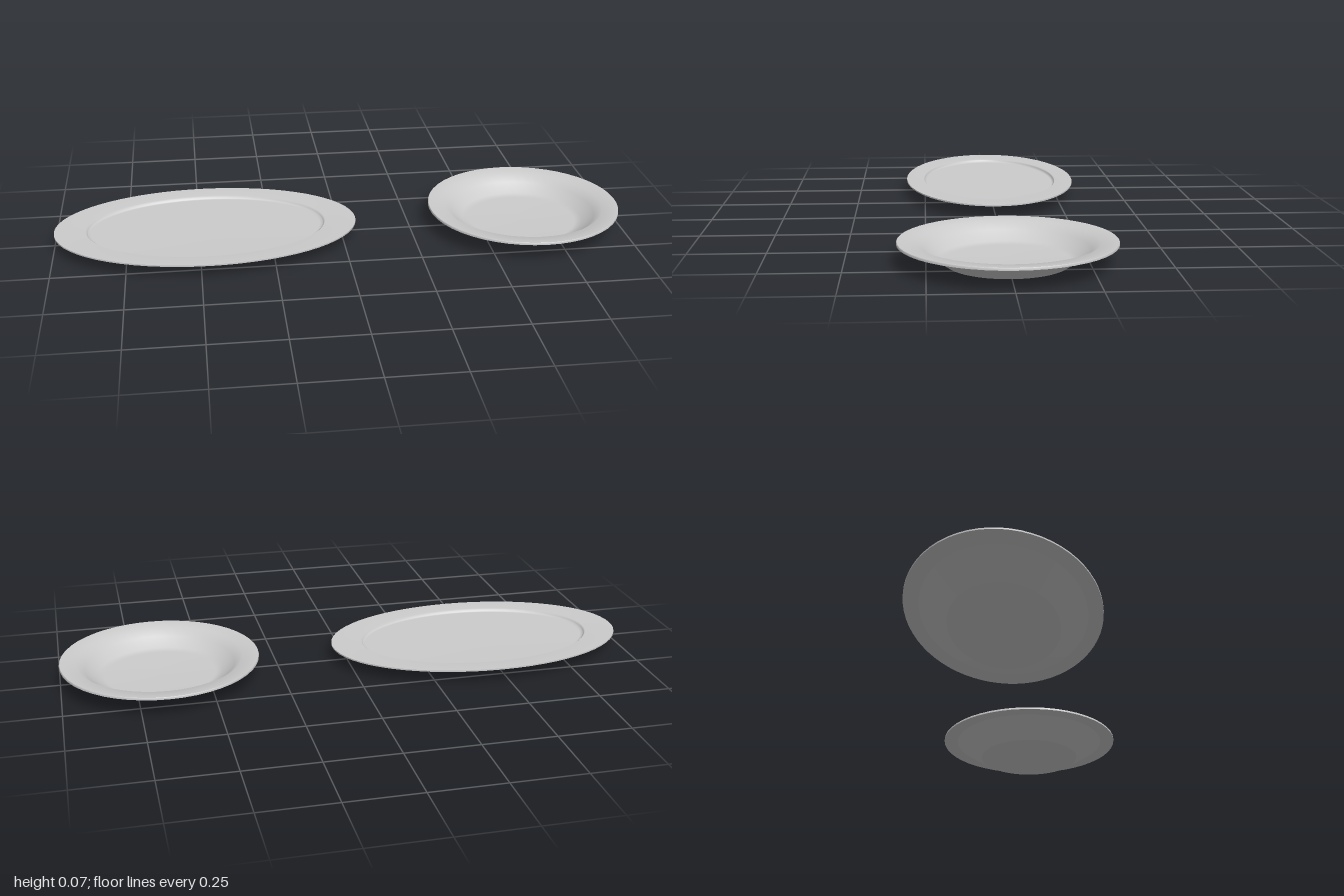
import * as THREE from 'three';

const material = new THREE.MeshStandardMaterial({ color: 0xcccccc, side: THREE.DoubleSide });

// Each section is a smooth run of [radius, height] points; edges between sections stay sharp.
function makeDish(name, sections, segments) {
  const dish = new THREE.Group();
  dish.name = name;
  for (const [part, points] of Object.entries(sections)) {
    const profile = points.map(([r, y]) => new THREE.Vector2(r, y));
    const mesh = new THREE.Mesh(new THREE.LatheGeometry(profile, segments), material);
    mesh.name = part;
    dish.add(mesh);
  }
  return dish;
}

export function createModel() {
  const model = new THREE.Group();
  model.name = 'dishes';

  // Oval platter: flat rim, short steep step down to a shallow floor
  const platter = makeDish('platter', {
    platterBase: [[0, 0], [0.3, 0]],
    platterOuterWall: [[0.3, 0], [0.445, 0.047]],
    platterRimUnderside: [[0.445, 0.047], [0.526, 0.047]],
    platterRimEdge: [[0.526, 0.047], [0.526, 0.052]],
    platterTop: [[0.526, 0.052], [0.418, 0.051], [0.412, 0.046], [0.41, 0.041], [0.4, 0.039], [0, 0.038]],
  }, 64);
  platter.scale.z = 0.608;
  platter.position.x = -0.474;

  // Round soup plate: narrow rim, deep sloping well
  const soupPlate = makeDish('soupPlate', {
    plateBase: [[0, 0], [0.19, 0]],
    plateOuterWall: [[0.19, 0], [0.287, 0.065]],
    plateRimUnderside: [[0.287, 0.065], [0.34, 0.065]],
    plateRimEdge: [[0.34, 0.065], [0.34, 0.071], [0.338, 0.073]],
    plateTop: [[0.338, 0.073], [0.283, 0.069], [0.255, 0.046], [0.215, 0.017], [0.19, 0.011], [0, 0.009]],
  }, 48);
  soupPlate.position.x = 0.66;

  model.add(platter, soupPlate);
  return model;
}
